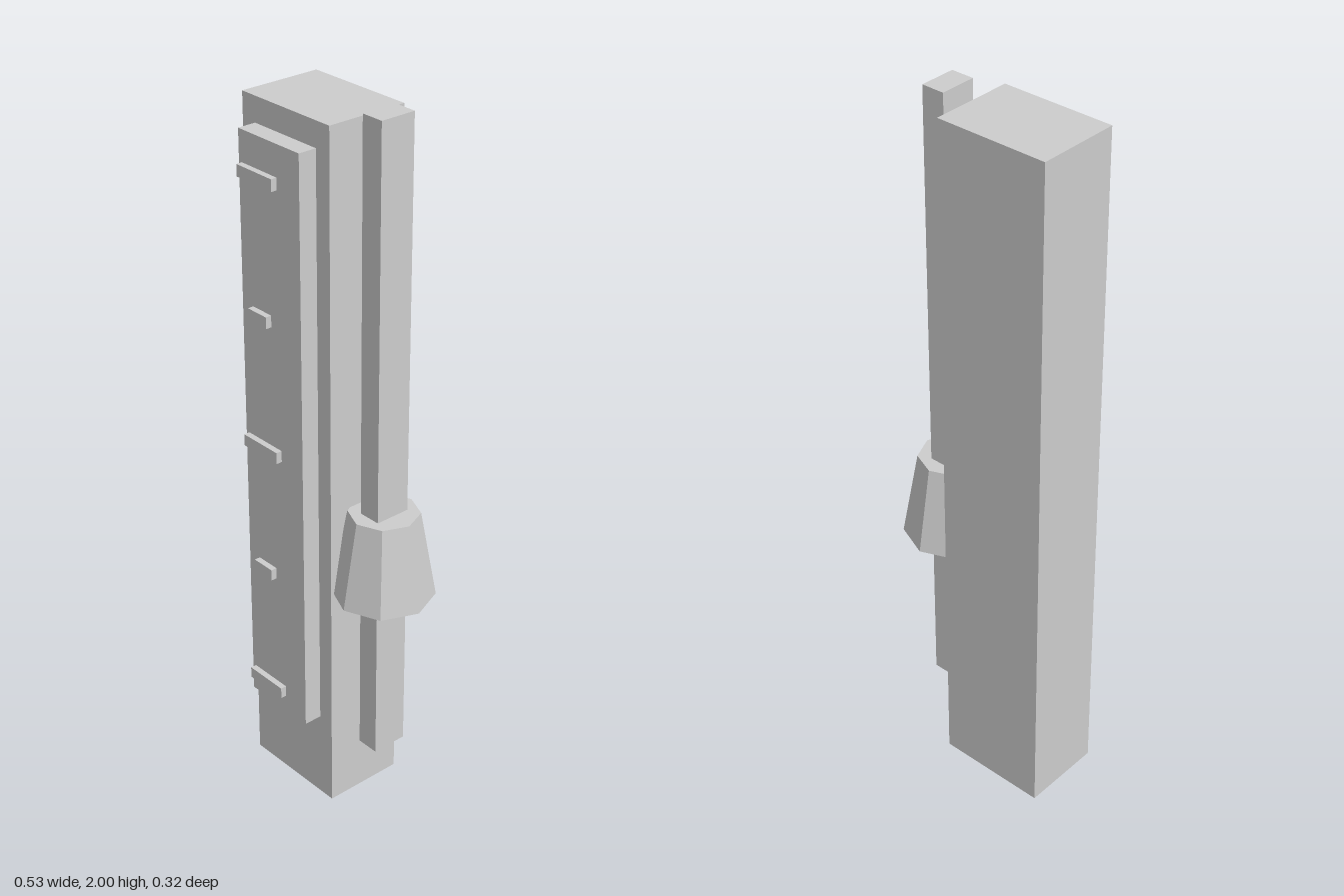
import * as THREE from 'three';

export function createModel() {
  const group = new THREE.Group();
  const grey = new THREE.MeshStandardMaterial({ color: 0xcccccc });
  grey.name = 'light grey';

  // Box given by its extents on each axis
  function box(name, [x0, x1], [y0, y1], [z0, z1]) {
    const mesh = new THREE.Mesh(new THREE.BoxGeometry(x1 - x0, y1 - y0, z1 - z0), grey);
    mesh.position.set((x0 + x1) / 2, (y0 + y1) / 2, (z0 + z1) / 2);
    mesh.name = name;
    group.add(mesh);
  }

  // Upright case and raised scale plate
  box('body', [-0.267, 0.053], [0, 1.975], [-0.141, 0.092]);
  box('scalePlate', [-0.22, 0.005], [0.26, 1.907], [0.092, 0.144]);

  // Alternating long and short scale marks
  for (let i = 0; i < 5; i++) {
    const y = 0.325 + i * 0.3705;
    const long = i % 2 === 0;
    box(long ? 'longMark' : 'shortMark', long ? [-0.209, -0.078] : [-0.179, -0.109],
      [y - 0.016, y + 0.016], [0.144, 0.161]);
  }

  // Side rod
  box('rod', [0.094, 0.159], [0.195, 2], [-0.076, 0.026]);

  // Eight-sided tapered weight around the rod, with flat facets
  const weightShape = new THREE.CylinderGeometry(0.095, 0.138, 0.245, 8).toNonIndexed();
  weightShape.computeVertexNormals();
  const weight = new THREE.Mesh(weightShape, grey);
  weight.position.set(0.127, 0.8055, -0.025);
  weight.name = 'weight';
  group.add(weight);

  return group;
}
